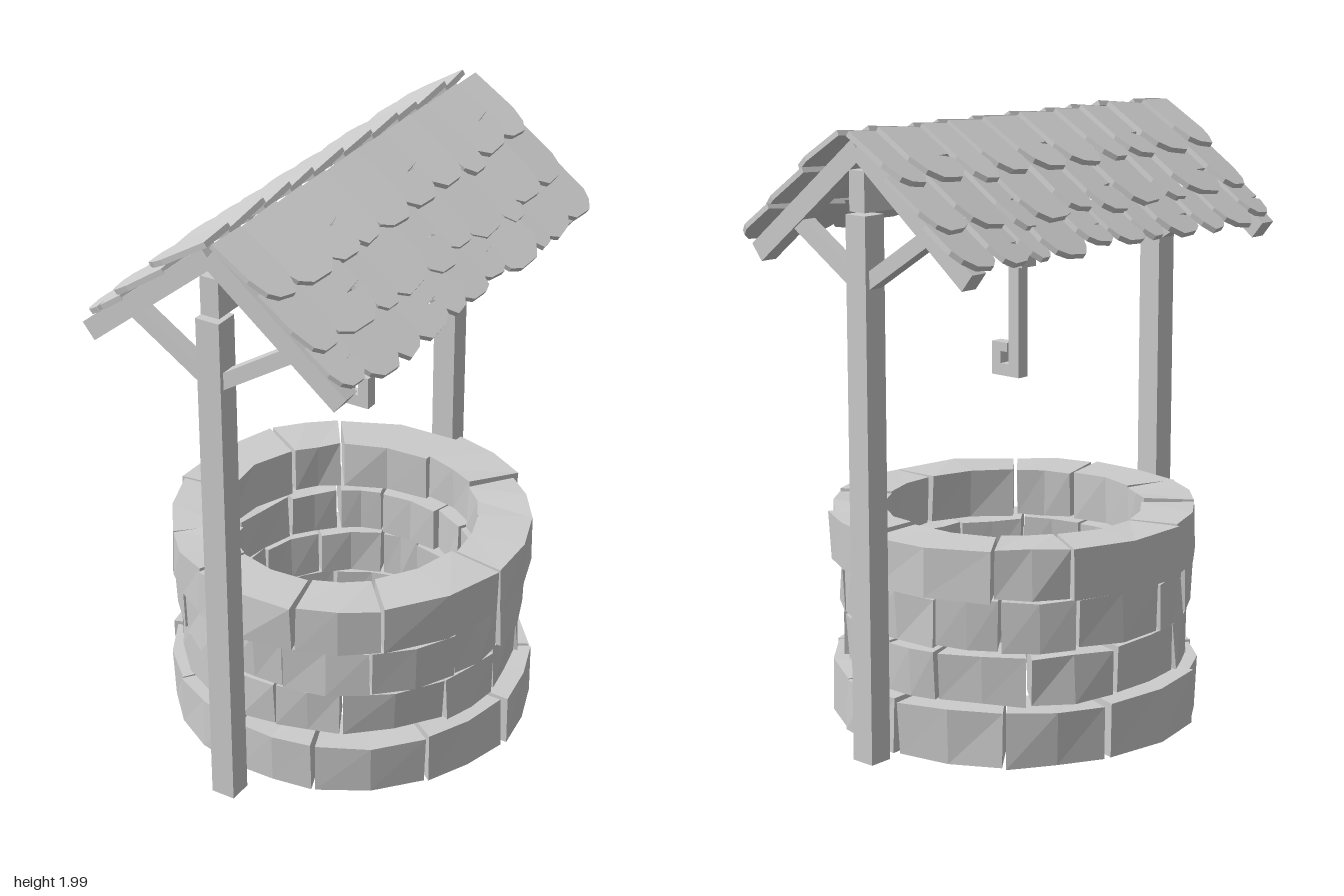
import * as THREE from 'three';

const grey = new THREE.MeshStandardMaterial({ color: 0xcccccc });
grey.name = 'light grey';

// Small seeded generator: returns values in -1..1
function seeded(seed) {
  let s = seed;
  return () => {
    s = (s * 16807) % 2147483647;
    return (s / 2147483647) * 2 - 1;
  };
}

// n + 1 uneven cut positions from 0 to 1
function cuts(n, rnd, amount) {
  return Array.from({ length: n + 1 }, (_, i) =>
    (i === 0 || i === n ? i : i + rnd() * amount) / n);
}

function add(parent, geometry, name) {
  const mesh = new THREE.Mesh(geometry, grey);
  mesh.name = name;
  parent.add(mesh);
  return mesh;
}

// Box given by its minimum and maximum corners
function block(parent, name, x0, x1, y0, y1, z0, z1) {
  const mesh = add(parent, new THREE.BoxGeometry(x1 - x0, y1 - y0, z1 - z0), name);
  mesh.position.set((x0 + x1) / 2, (y0 + y1) / 2, (z0 + z1) / 2);
}

// Beam running between two points in the xy plane
function beam(parent, name, x0, y0, x1, y1, thick, z, depth) {
  const mesh = add(parent, new THREE.BoxGeometry(Math.hypot(x1 - x0, y1 - y0), thick, depth), name);
  mesh.position.set((x0 + x1) / 2, (y0 + y1) / 2, z);
  mesh.rotation.z = Math.atan2(y1 - y0, x1 - x0);
}

// Curved, slightly irregular stone swept through cross-sections
function stoneGeometry(a0, a1, r0, r1, y0, y1, rnd) {
  const pos = [], index = [], steps = 2, gap = 0.006;
  const lift = rnd() * 0.006, push = rnd() * 0.01;
  for (let i = 0; i <= steps; i++) {
    const t = i / steps;
    for (const [r, y] of [[r1, y0], [r1, y1], [r0, y1], [r0, y0]]) {
      const inset = (gap + rnd() * 0.003) / r;
      const a = THREE.MathUtils.lerp(a0 + inset, a1 - inset, t);
      const rr = r + push + rnd() * 0.008;
      pos.push(Math.sin(a) * rr, Math.max(0, y + lift + rnd() * 0.005), Math.cos(a) * rr);
    }
  }
  for (let i = 0; i < steps; i++) {
    for (let k = 0; k < 4; k++) {
      const a = i * 4 + k, b = i * 4 + (k + 1) % 4;
      index.push(a, a + 4, b + 4, a, b + 4, b);
    }
  }
  const e = steps * 4;
  index.push(0, 1, 2, 0, 2, 3, e, e + 2, e + 1, e, e + 3, e + 2);
  const g = new THREE.BufferGeometry();
  g.setAttribute('position', new THREE.Float32BufferAttribute(pos, 3));
  g.setIndex(index);
  const flat = g.toNonIndexed();
  flat.computeVertexNormals();
  return flat;
}

// Wooden shingle with a rounded lower end and sometimes a split in one edge
function shingleGeometry(length, width, rnd, notch) {
  const h = width / 2, j = () => rnd() * 0.008;
  const pts = [[0, -h], [length * 0.62 + j(), -h], [length * 0.88 + j(), -h * 0.8],
    [length + j(), -h * 0.42], [length + j(), h * 0.4], [length * 0.9 + j(), h * 0.78],
    [length * 0.68 + j(), h]];
  if (notch) pts.push([length * 0.62, h], [length * 0.57, h * 0.35], [length * 0.53, h]);
  pts.push([0, h]);
  const shape = new THREE.Shape(pts.map(([u, v]) => new THREE.Vector2(u, v)));
  return new THREE.ExtrudeGeometry(shape, { depth: 0.018, bevelEnabled: false });
}

export function createModel() {
  const model = new THREE.Group();
  model.name = 'well';
  const cx = -0.025; // centre line of the timber frame

  // Stone wall: four courses of separate stones
  const wall = new THREE.Group();
  wall.name = 'stoneWall';
  wall.position.z = 0.02;
  model.add(wall);
  const courses = [
    { n: 11, r0: 0.44, r1: 0.61, y0: 0.007, y1: 0.182, turn: -0.12 },
    { n: 13, r0: 0.42, r1: 0.565, y0: 0.2, y1: 0.355, turn: 0.1 },
    { n: 14, r0: 0.42, r1: 0.578, y0: 0.371, y1: 0.527, turn: -0.2 },
    { n: 11, r0: 0.43, r1: 0.603, y0: 0.544, y1: 0.706, turn: 0.25 }
  ];
  courses.forEach((c, row) => {
    const rnd = seeded(4001 + row * 977);
    const at = cuts(c.n, rnd, 0.2).map(t => t * Math.PI * 2 + c.turn);
    for (let i = 0; i < c.n; i++) {
      add(wall, stoneGeometry(at[i], at[i + 1], c.r0, c.r1, c.y0, c.y1, rnd), 'stone');
    }
  });

  // Timber frame: posts, ridge beam, rafters and braces
  const frame = new THREE.Group();
  frame.name = 'timberFrame';
  model.add(frame);
  block(frame, 'ridgeBeam', cx - 0.032, cx + 0.032, 1.74, 1.865, -0.715, 0.752);
  for (const z of [0.728, -0.683]) {
    block(frame, 'post', cx - 0.041, cx + 0.041, 0.01, 1.732, z - 0.04, z + 0.04);
    for (const s of [-1, 1]) {
      beam(frame, 'rafter', cx, 1.93, cx + s * 0.443, 1.575, 0.066, z - 0.002, 0.06);
      beam(frame, 'brace', cx + s * 0.02, 1.525, cx + s * 0.3, 1.705, 0.048, z, 0.05);
    }
  }

  // Hanging rod with a square hook
  const hook = new THREE.Group();
  hook.name = 'hook';
  model.add(hook);
  block(hook, 'hookSocket', -0.058, 0.01, 1.49, 1.75, -0.01, 0.058);
  block(hook, 'hookRod', -0.033, 0.01, 1.125, 1.49, 0.002, 0.045);
  block(hook, 'hookBottom', 0.01, 0.045, 1.125, 1.165, 0.002, 0.045);
  block(hook, 'hookSide', 0.045, 0.083, 1.125, 1.235, 0.002, 0.045);
  block(hook, 'hookTip', 0.018, 0.045, 1.205, 1.235, 0.002, 0.045);

  // Roof: mirrored slopes, each with three overlapping rows of shingles
  const pitch = Math.atan(0.78), c = Math.cos(pitch), d = Math.sin(pitch);
  const rows = [
    { start: 0.4, length: 0.19, base: 0.002, tilt: 0.06, n: 11 },
    { start: 0.2, length: 0.26, base: 0.006, tilt: 0.07, n: 10 },
    { start: 0.006, length: 0.27, base: 0.006, tilt: 0.12, n: 10 }
  ];
  for (const s of [-1, 1]) {
    const slope = new THREE.Group();
    slope.name = s < 0 ? 'rightRoof' : 'leftRoof';
    slope.position.set(cx + 0.005, 1.964, 0);
    slope.quaternion.setFromRotationMatrix(new THREE.Matrix4().makeBasis(
      new THREE.Vector3(s * c, -d, 0),
      new THREE.Vector3(0, 0, -s),
      new THREE.Vector3(s * d, c, 0)));
    model.add(slope);
    rows.forEach((row, r) => {
      const rnd = seeded(7103 + r * 613);
      const at = cuts(row.n, rnd, 0.22).map(t => 0.75 - t * 1.51);
      for (let i = 0; i < row.n; i++) {
        const width = at[i] - at[i + 1] + 0.014;
        const length = row.length + rnd() * 0.022;
        const mesh = add(slope, shingleGeometry(length, width, rnd, i % 3 === r), 'shingle');
        mesh.position.set(row.start, -s * (at[i] + at[i + 1]) / 2, row.base);
        // Far edge of each shingle rides up over its neighbour
        mesh.rotation.set(s * (0.1 + rnd() * 0.03), -row.tilt, s * rnd() * 0.03);
      }
    });
  }
  return model;
}
